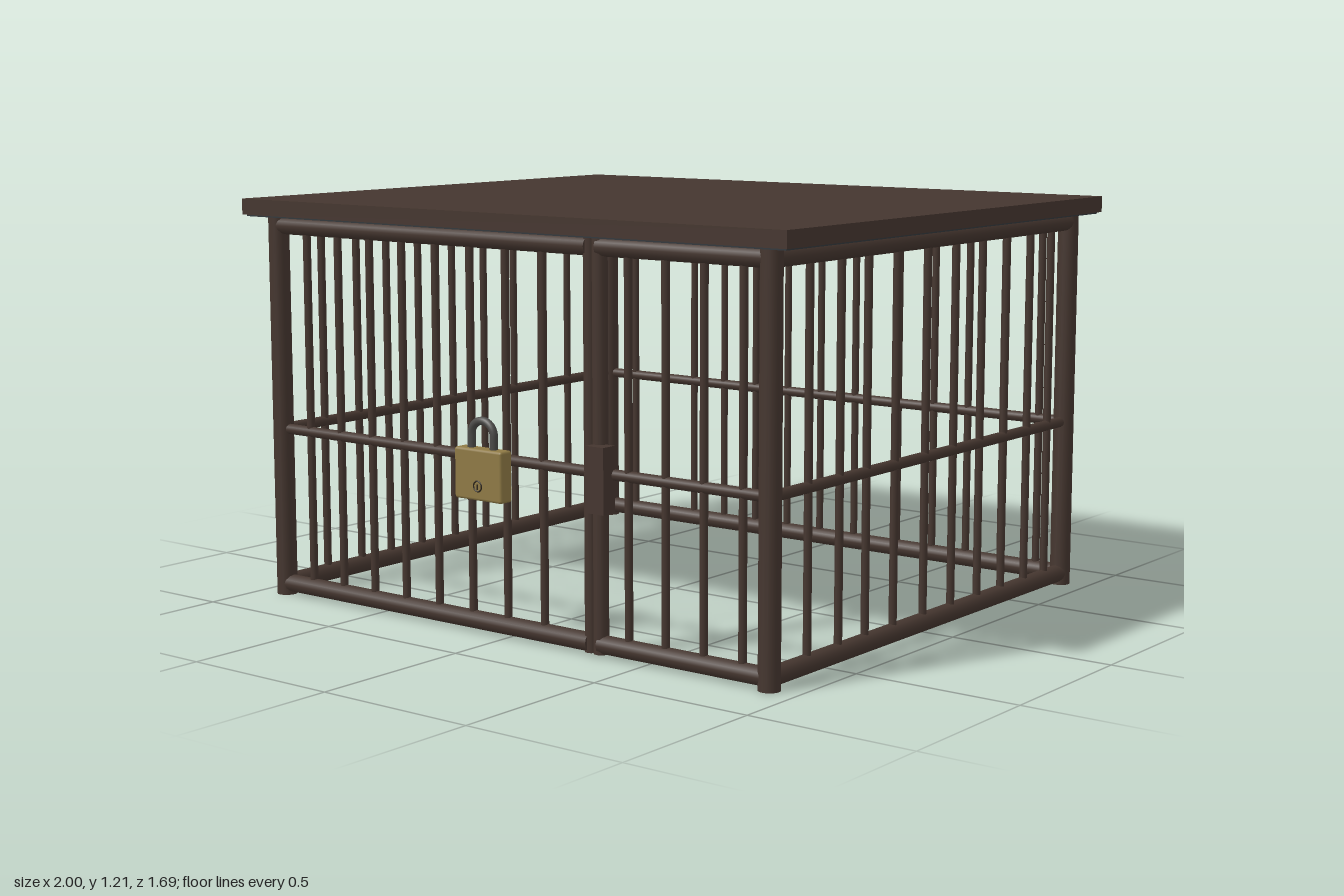
import * as THREE from 'three';
import { RoundedBoxGeometry } from 'three/addons/geometries/RoundedBoxGeometry.js';

export function createModel() {
  const mat = (name, color) => new THREE.MeshStandardMaterial({ name, color });
  const iron = mat('rusty brown iron', 0x45362f);
  const lining = mat('dark slate lining', 0x32373b);
  const brass = mat('brass', 0x8f7a45);
  const steel = mat('grey steel', 0x4c4b49);
  const dark = mat('dark keyhole', 0x2a2218);

  const root = new THREE.Group();
  root.name = 'cage';
  const add = (parent, name, geo, material, x = 0, y = 0, z = 0) => {
    const m = new THREE.Mesh(geo, material);
    m.name = name;
    m.position.set(x, y, z);
    parent.add(m);
    return m;
  };
  const group = (name) => {
    const g = new THREE.Group();
    g.name = name;
    root.add(g);
    return g;
  };

  // Round iron rod between two points
  const up = new THREE.Vector3(0, 1, 0);
  const rod = (parent, name, a, b, r, sides = 12) => {
    const p = new THREE.Vector3(...a), q = new THREE.Vector3(...b);
    const d = q.clone().sub(p);
    const m = add(parent, name, new THREE.CylinderGeometry(r, r, d.length(), sides), iron);
    m.position.copy(p).add(q).multiplyScalar(0.5);
    m.quaternion.setFromUnitVectors(up, d.normalize());
  };

  const X = 0.91, FRONT = 0.777, BACK = -0.797;
  const LOW = 0.04, MID = 0.52, HIGH = 1.14;

  // Roof slab with lining underneath
  add(root, 'roof', new THREE.BoxGeometry(2, 0.048, 1.68), iron, 0, 1.195, 0);
  add(root, 'roofLining', new THREE.BoxGeometry(1.98, 0.006, 1.66), lining, 0, 1.169, 0);

  // Corner posts
  const posts = group('cornerPosts');
  for (const x of [-X, X]) for (const z of [FRONT, BACK])
    rod(posts, 'cornerPost', [x, 0.005, z], [x, 1.17, z], 0.031, 16);

  // Three horizontal rails along one stretch of wall
  const rails = (parent, a, b) => {
    for (const [name, y, r] of [['bottomRail', LOW, 0.027], ['middleRail', MID, 0.016], ['topRail', HIGH, 0.027]])
      rod(parent, name, [a[0], y, a[1]], [b[0], y, b[1]], r);
  };
  const bar = (parent, x, z) => rod(parent, 'bar', [x, LOW, z], [x, HIGH, z], 0.012, 10);

  // Front: wide door and narrow fixed panel
  const doorBars = [-0.79, -0.66, -0.53, -0.4, -0.267, -0.134, 0, 0.137];
  const panelBars = [0.44, 0.567, 0.695, 0.823];
  const door = group('door');
  rails(door, [-X, FRONT], [0.305, FRONT]);
  doorBars.forEach((x) => bar(door, x, FRONT));
  rod(door, 'doorStile', [0.307, 0.013, FRONT], [0.307, 1.167, FRONT], 0.019);

  const panel = group('frontPanel');
  rails(panel, [0.342, FRONT], [X, FRONT]);
  panelBars.forEach((x) => bar(panel, x, FRONT));
  rod(panel, 'panelStile', [0.342, 0.013, FRONT], [0.342, 1.167, FRONT], 0.022);
  add(panel, 'latchPlate', new THREE.BoxGeometry(0.062, 0.186, 0.05), iron, 0.362, 0.508, 0.803);

  // Back wall
  const back = group('backWall');
  rails(back, [-X, BACK], [X, BACK]);
  [...doorBars, 0.305, ...panelBars].forEach((x) => bar(back, x, BACK));

  // Side walls
  const sideBars = [0.604, 0.455, 0.323, 0.179, 0.02, -0.133, -0.283, -0.423, -0.563, -0.69];
  for (const [name, x] of [['leftWall', X], ['rightWall', -X]]) {
    const wall = group(name);
    rails(wall, [x, BACK], [x, FRONT]);
    sideBars.forEach((z) => bar(wall, x, z));
  }

  // Padlock: body, shackle and keyhole
  const lock = group('padlock');
  lock.position.set(-0.052, 0.479, 0.82);
  add(lock, 'lockBody', new RoundedBoxGeometry(0.177, 0.148, 0.048, 2, 0.008), brass);
  const path = new THREE.CurvePath();
  const R = 0.042, legTop = 0.11;
  path.add(new THREE.LineCurve3(new THREE.Vector3(-R, 0.05, 0), new THREE.Vector3(-R, legTop, 0)));
  path.add(new THREE.CubicBezierCurve3(
    new THREE.Vector3(-R, legTop, 0), new THREE.Vector3(-R, legTop + R * 1.33, 0),
    new THREE.Vector3(R, legTop + R * 1.33, 0), new THREE.Vector3(R, legTop, 0)));
  path.add(new THREE.LineCurve3(new THREE.Vector3(R, legTop, 0), new THREE.Vector3(R, 0.05, 0)));
  add(lock, 'shackle', new THREE.TubeGeometry(path, 40, 0.012, 10), steel);
  add(lock, 'keyholeRing', new THREE.TorusGeometry(0.015, 0.0025, 6, 20), dark, 0, -0.032, 0.0235);
  add(lock, 'keyholeSlot', new THREE.BoxGeometry(0.005, 0.016, 0.003), dark, 0, -0.034, 0.0235);

  return root;
}
